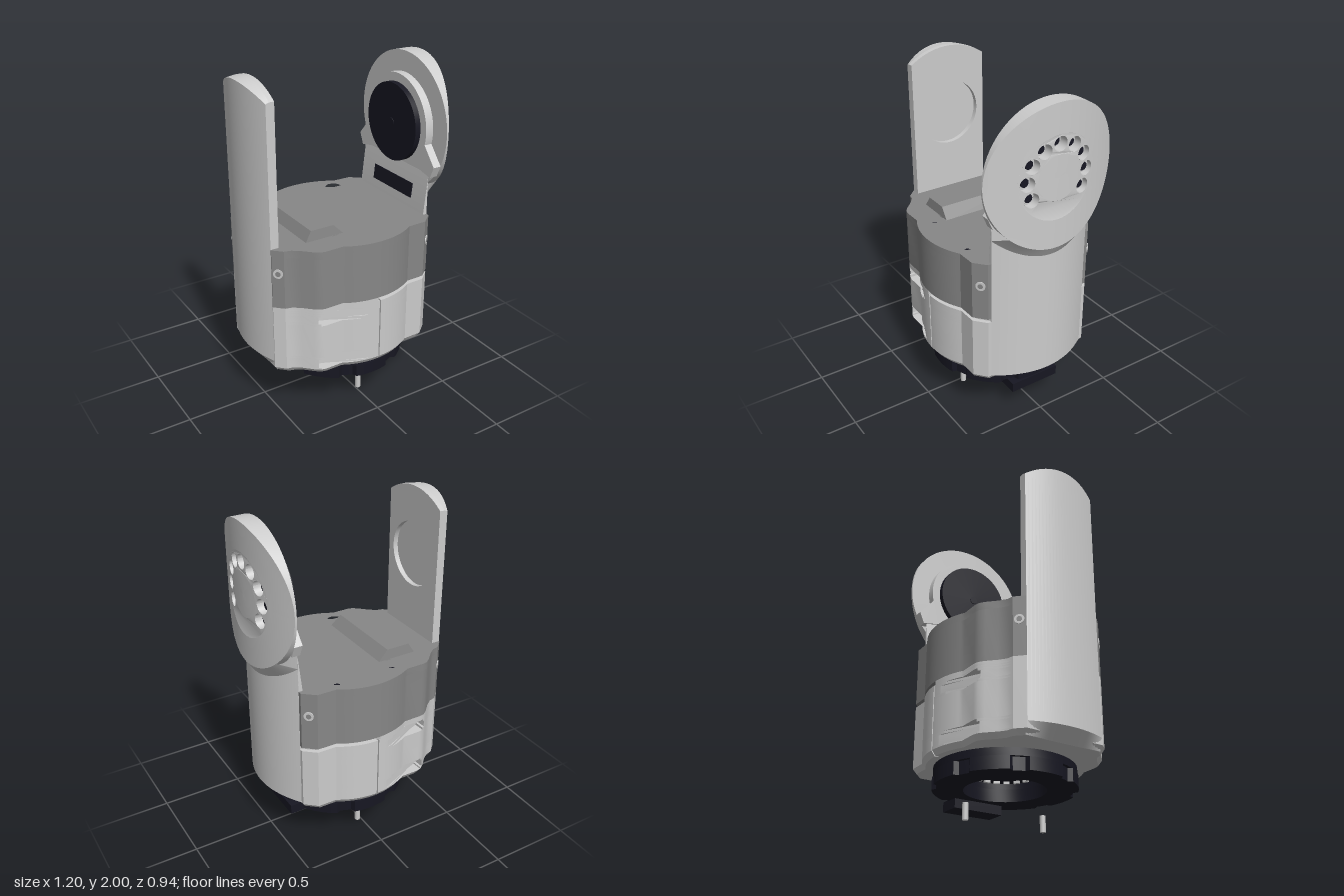
import * as THREE from 'three';
import { toCreasedNormals } from 'three/addons/utils/BufferGeometryUtils.js';

const light = new THREE.MeshStandardMaterial({ color: 0xcccccc, side: THREE.DoubleSide });
light.name = 'light grey shell';
const grey = new THREE.MeshStandardMaterial({ color: 0x878787 });
grey.name = 'mid grey cover';
const dark = new THREE.MeshStandardMaterial({ color: 0x171722 });
dark.name = 'near black';

const V = (x, y) => new THREE.Vector2(x, y);
const HUB = 1.59, R = 0.41, AX = 0.02;          // hub height, hub radius, base axis x
const dome = z => 0.595 - 0.56 * z * z;         // outer face of the hub plate
const armFace = z => 0.555 - 1.07 * z * z;      // outer face of the wide arm

// Moves every vertex by a rule and refreshes the normals
function warp(geo, rule) {
  const p = geo.attributes.position, v = new THREE.Vector3();
  for (let i = 0; i < p.count; i++) {
    rule(v.fromBufferAttribute(p, i));
    p.setXYZ(i, v.x, v.y, v.z);
  }
  geo.computeVertexNormals();
  return geo;
}

// Upright slab from a plan shape
function slab(shape, y0, y1, taper = 1) {
  const g = new THREE.ExtrudeGeometry(shape, { depth: y1 - y0, bevelEnabled: false, curveSegments: 32 });
  g.rotateX(-Math.PI / 2).translate(0, y0, 0);
  if (taper !== 1) warp(g, v => { if (v.y < y0 + 1e-4) { v.x *= taper; v.z *= taper; } });
  return toCreasedNormals(g, 0.5);
}

// Plate lying in the y-z plane, from x0 to x1
function sidePlate(shape, x0, x1) {
  const g = new THREE.ExtrudeGeometry(shape, { depth: x1 - x0, bevelEnabled: false, curveSegments: 40 });
  return toCreasedNormals(g.rotateY(Math.PI / 2).translate(x0, 0, 0), 0.5);
}

// Front half of the body plan
const edge = [[-0.55, 0.245], [-0.5, 0.295], [-0.46, 0.305], [-0.42, 0.335], [-0.37, 0.385],
  [-0.34, 0.408], [-0.31, 0.415]];
for (let i = 0; i <= 20; i++) {
  const x = -0.2 + i * 0.023;
  edge.push([x, 0.022 + Math.sqrt(0.2025 - (x - AX) ** 2)]);
}
edge.push([0.375, 0.4], [0.445, 0.34]);
function edgeZ(x) {
  const i = edge.findIndex(p => p[0] >= x), [a, b] = [edge[i - 1], edge[i]];
  return a[1] + (b[1] - a[1]) * (x - a[0]) / (b[0] - a[0]);
}
// Body plan, with optional scooped grip [from, to], seam and inset on the right
function plan({ slot, seam, inset = 0 } = {}) {
  let pts = edge.slice();
  const cut = (x0, x1, inner) => {
    pts = [...pts.filter(p => p[0] < x0), ...inner, ...pts.filter(p => p[0] > x1)];
  };
  if (seam) cut(0.016, 0.024, [[0.016, edgeZ(0.016)], [0.016, 0.445], [0.024, 0.445], [0.024, edgeZ(0.024)]]);
  if (slot) {
    const [a, b] = slot;
    cut(a, b, [[a, edgeZ(a)], [a + 0.004, 0.345], [a + 0.06, 0.365], [b, edgeZ(b)]]);
  }
  if (inset) pts = pts.map(([x, z]) => [x, x > AX ? z - inset : z]);
  return new THREE.Shape([...pts.map(p => V(p[0], p[1])), ...pts.slice().reverse().map(p => V(p[0], -p[1]))]);
}

export function createModel() {
  const model = new THREE.Group();
  const add = (name, geo, mat, x = 0, y = 0, z = 0) => {
    const m = new THREE.Mesh(geo, mat);
    m.name = name;
    m.position.set(x, y, z);
    model.add(m);
    return m;
  };
  const hole = (x, y, r) => new THREE.Path().absarc(x, y, r, 0, Math.PI * 2, true);
  const disc = (r, h, n = 48) => new THREE.CylinderGeometry(r, r, h, n);
  const sideDisc = (r, h, n = 48) => disc(r, h, n).rotateZ(-Math.PI / 2);

  // Lower body in layers, with two scooped grips per side
  const narrow = [-0.335, -0.09], wide = [-0.35, -0.05];
  [[0.32, 0.35, { seam: 1 }, 0.955], [0.35, 0.36, { slot: narrow, seam: 1 }],
    [0.36, 0.415, { slot: wide, seam: 1 }], [0.415, 0.43, { slot: narrow, seam: 1 }],
    [0.43, 0.64, { seam: 1 }], [0.64, 0.655, { slot: narrow, seam: 1 }],
    [0.655, 0.7, { slot: wide, seam: 1 }], [0.7, 0.715, { slot: narrow, seam: 1 }],
    [0.715, 0.728, { seam: 1 }], [0.728, 0.75, { inset: 0.03 }]
  ].forEach(([a, b, o, t]) => add('lowerBody', slab(plan(o), a, b, t), light));

  // Cover with countersunk screws on top
  add('cover', slab(plan(), 0.75, 1.06), grey);
  const top = plan();
  for (const x of [-0.16, 0.205]) for (const z of [-0.32, 0.32]) {
    top.holes.push(hole(x, z, 0.05));
    add('coverScrew', disc(0.024, 0.01, 16), dark, x, 1.064, z);
  }
  add('coverTop', slab(top, 1.06, 1.105), grey);
  const ridge = new THREE.BoxGeometry(0.25, 0.065, 0.54);
  warp(ridge, v => {
    if (v.y > 0) { v.x = v.x < 0 ? -0.085 : 0.06; v.z *= 0.97; }
  });
  add('coverRidge', ridge, grey, -0.225, 1.1325, 0);
  for (const s of [-1, 1]) for (const [x, z, nx, nz] of [[-0.525, 0.27, -0.71, 0.71], [0.413, 0.369, 0.65, 0.76]]) {
    const dir = new THREE.Vector3(nx, 0, nz * s).normalize();
    const q = new THREE.Quaternion().setFromUnitVectors(new THREE.Vector3(0, 1, 0), dir);
    add('sideScrew', disc(0.028, 0.008, 24), light, x, 0.965, z * s).quaternion.copy(q);
    add('sideScrewCore', disc(0.015, 0.012, 16), grey, x, 0.965, z * s).quaternion.copy(q);
  }

  // Narrow arm: curved back, arched top, round socket on the inner face
  const arch = z => HUB + Math.sqrt(R * R - z * z);
  add('narrowArm', warp(new THREE.BoxGeometry(2, 2, 0.48, 1, 1, 24), v => {
    const outer = v.x < 0;
    v.y = v.y > 0 ? arch(v.z) - (outer ? 0.008 : 0) : (outer ? 0.39 : 0.32);
    v.x = outer ? -0.6 + 0.87 * v.z * v.z : -0.53;
  }), light);
  const face = new THREE.Shape([V(-0.24, 0.34), V(0.24, 0.34)]);
  for (let i = 0; i <= 24; i++) face.lineTo(0.24 - i * 0.02, arch(0.24 - i * 0.02));
  face.holes.push(hole(0, HUB, 0.195));
  add('narrowArmSocketFace', sidePlate(face, -0.53, -0.5), light);

  // Wide arm rising to the hub plate
  add('wideArm', warp(new THREE.BoxGeometry(2, 2, 0.64, 1, 2, 24), v => {
    const outer = v.x > 0, level = Math.round(v.y) + 1;
    v.x = outer ? Math.max(armFace(v.z), 0.445) : [0.4, 0.42, 0.45][level];
    v.y = [outer ? 0.35 : 0.32, 1.1, 1.36][level];
  }), light);
  add('connector', new THREE.BoxGeometry(0.01, 0.09, 0.38), dark, 0.432, 1.21, 0).rotation.z = -0.115;

  // Hub plate: curved face in three zones, the middle one pierced by screw holes
  const curved = g => warp(g.rotateY(Math.PI / 2), v => { v.x = dome(v.z); });
  const band = new THREE.Shape().absarc(0, 0, 0.24, 0, Math.PI * 2);
  band.holes.push(hole(0, 0, 0.13));
  for (let i = -4; i <= 4; i++) {
    const a = i * Math.PI / 6, z = 0.187 * Math.sin(a), y = 0.187 * Math.cos(a);
    band.holes.push(hole(-z, y, 0.042));
    add('hubHole', warp(new THREE.CylinderGeometry(0.042, 0.042, 1, 24, 1, true).rotateZ(-Math.PI / 2), v => {
      v.x = v.x > 0 ? dome(v.z + z) : 0.53;
    }), light, 0, HUB + y, z);
    add('hubHoleSeat', sideDisc(0.042, 0.01, 24), light, 0.53, HUB + y, z);
    add('hubScrew', sideDisc(0.025, 0.02, 12), dark, 0.54, HUB + y, z);
  }
  add('hubFaceCentre', curved(new THREE.RingGeometry(0.001, 0.13, 64, 3)), light, 0, HUB);
  add('hubFaceBand', curved(new THREE.ShapeGeometry(band, 32)), light, 0, HUB);
  add('hubFaceOuter', curved(new THREE.RingGeometry(0.24, R, 72, 4)), light, 0, HUB);
  add('hubRim', warp(new THREE.CylinderGeometry(R, R, 1, 72, 1, true).rotateZ(-Math.PI / 2), v => {
    v.x = v.x > 0 ? dome(v.z) : 0.49;
  }), light, 0, HUB);
  add('hubBack', new THREE.CircleGeometry(R, 72).rotateY(-Math.PI / 2), light, 0.49, HUB);
  // Sloped blend from the hub plate down to the arm
  const blend = new THREE.RingGeometry(R, 0.47, 32, 1, -Math.PI / 2 - 0.75, 1.5).rotateY(Math.PI / 2);
  add('hubBlend', warp(blend, v => {
    v.x = Math.hypot(v.y, v.z) > 0.44 ? armFace(v.z) : dome(v.z);
  }), light, 0, HUB);
  // Inner collar with two ears, and the dark turning disc
  const collar = new THREE.Shape().absarc(0, HUB, 0.287, -0.25, Math.PI + 0.25);
  [[-0.37, 1.41], [-0.34, 1.34], [-0.24, 1.36], [0.24, 1.36], [0.34, 1.34], [0.37, 1.41]]
    .forEach(p => collar.lineTo(p[0], p[1]));
  add('hubCollar', sidePlate(collar, 0.44, 0.49), light);
  add('turningDisc', sideDisc(0.235, 0.035, 64), dark, 0.4225, HUB);
  add('turningDiscHub', sideDisc(0.025, 0.006, 20), dark, 0.404, HUB);

  // Dark base ring with a notched lower rim
  const rim = new THREE.Shape(), n = 144;
  for (let i = 0; i < n; i++) {
    const a = i / n * Math.PI * 2, r = i % 18 > 6 && i % 18 < 12 ? 0.385 : R;
    rim[i ? 'lineTo' : 'moveTo'](AX + r * Math.cos(a), r * Math.sin(a));
  }
  rim.holes.push(hole(AX, 0, 0.235));
  add('baseRim', slab(rim, 0.2, 0.275), dark);
  const ring = new THREE.Shape().absarc(AX, 0, 0.405, 0, Math.PI * 2);
  ring.holes.push(hole(AX, 0, 0.235));
  add('baseRing', slab(ring, 0.275, 0.325), dark);
  add('baseCeiling', disc(0.24, 0.01), dark, AX, 0.315, 0);
  for (let i = 0; i < 20; i++) {
    const a = i / 20 * Math.PI * 2;
    add('baseContact', new THREE.BoxGeometry(0.018, 0.02, 0.035), light,
      AX + 0.19 * Math.cos(a), 0.305, 0.19 * Math.sin(a)).rotation.y = -a;
  }
  add('baseFoot', new THREE.BoxGeometry(0.135, 0.06, 0.32), dark, 0.3675, 0.175, 0);

  // Loose locating pins below the base
  for (const z of [-0.255, 0.255]) add('pin', disc(0.017, 0.095, 20), light, AX, 0.0475, z);
  return model;
}
